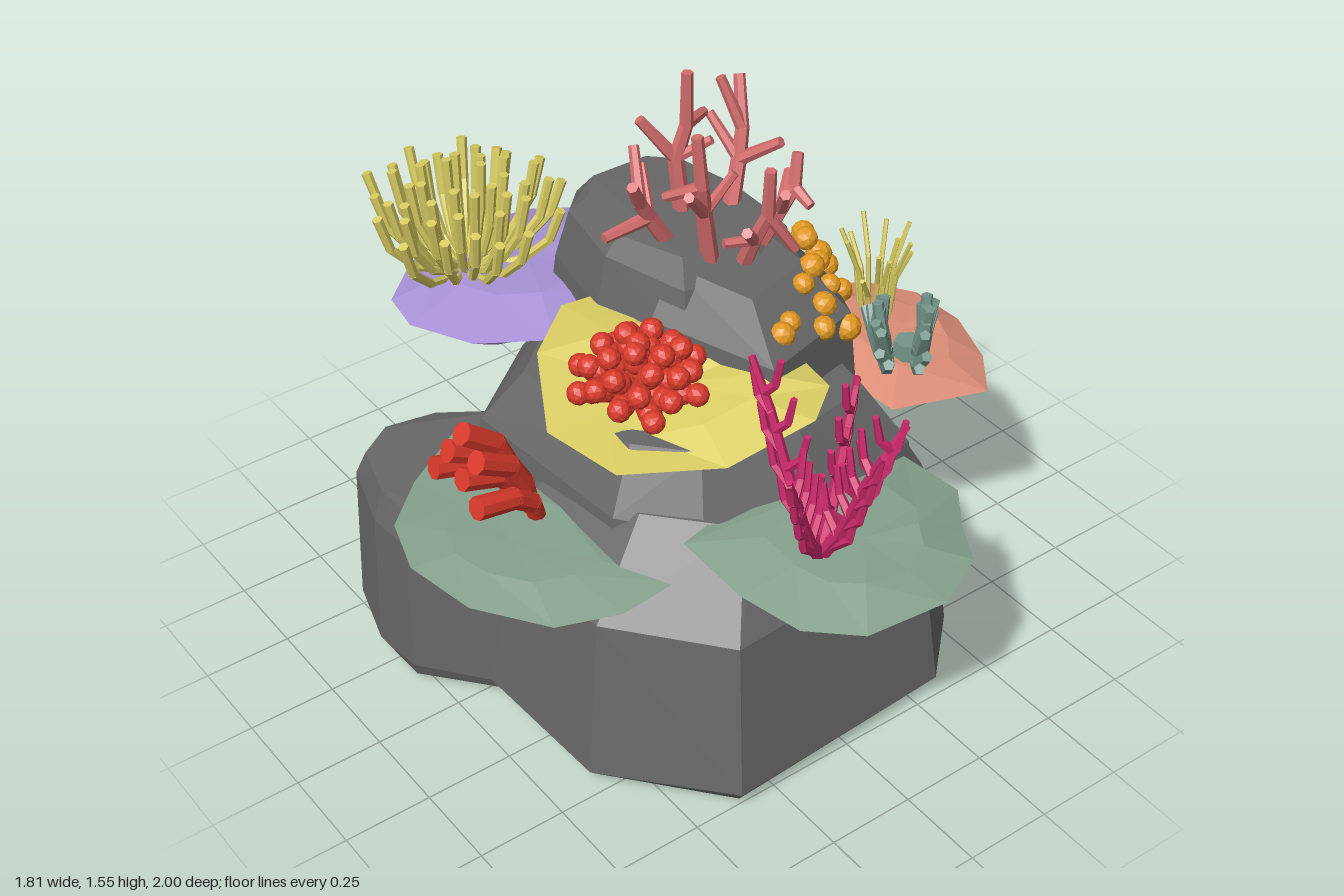
import * as THREE from 'three';
import { mergeGeometries } from 'three/addons/utils/BufferGeometryUtils.js';
import { ConvexGeometry } from 'three/addons/geometries/ConvexGeometry.js';

const V = (x, y, z) => new THREE.Vector3(x, y, z);
const clamp = THREE.MathUtils.clamp;
const paint = (name, color) => {
  const m = new THREE.MeshStandardMaterial({ color });
  m.name = name;
  return m;
};

// Small seeded random in the range 0..1
let seed = 7;
const rnd = () => (seed = (seed * 16807) % 2147483647) / 2147483647;
const jit = a => (rnd() - 0.5) * 2 * a;

function flat(g) {
  const f = g.index ? g.toNonIndexed() : g;
  f.deleteAttribute('uv');
  f.computeVertexNormals();
  return f;
}

// Convex boulder: an outline scaled and shifted at each level [y, scale, dx, dz]
function boulder(outline, levels) {
  const n = outline.length;
  const cx = outline.reduce((s, p) => s + p[0], 0) / n;
  const cz = outline.reduce((s, p) => s + p[1], 0) / n;
  const pts = [];
  for (const [y, s, dx = 0, dz = 0] of levels)
    for (const [x, z] of outline) pts.push(V(cx + (x - cx) * s + dx, y + jit(0.01), cz + (z - cz) * s + dz));
  return flat(new ConvexGeometry(pts));
}

// Faceted plate coral: rim outline, domed top and bulging underside
function shelf(outline, rimY, dome, depth) {
  let area = 0;
  outline.forEach(([x, z], i) => {
    const [u, w] = outline[(i + 1) % outline.length];
    area += z * u - x * w;
  });
  const o = area < 0 ? [...outline].reverse() : outline;
  const n = o.length;
  const cx = o.reduce((s, p) => s + p[0], 0) / n, cz = o.reduce((s, p) => s + p[1], 0) / n;
  const ring = (s, dy, j) => o.map(([x, z]) => {
    const px = cx + (x - cx) * s, pz = cz + (z - cz) * s;
    return V(px, rimY(px, pz) + dy + jit(j), pz);
  });
  const rings = [ring(0, dome, 0), ring(0.55, dome * 0.9, 0.008), ring(1, 0, 0.012), ring(0.6, -depth * 0.8, 0.015), ring(0, -depth, 0)];
  const tris = [];
  for (let k = 0; k < 4; k++)
    for (let i = 0; i < n; i++) {
      const j = (i + 1) % n, a = rings[k], b = rings[k + 1];
      if (k < 3) tris.push(a[i], b[i], b[j]);
      if (k > 0) tris.push(a[i], k < 3 ? b[j] : b[i], a[j]);
    }
  const g = new THREE.BufferGeometry().setFromPoints(tris);
  g.computeVertexNormals();
  return g;
}

// Tapered limb made of straight segments along a path
function limb(path, r0, r1, sides = 5) {
  const n = path.length - 1;
  return path.slice(1).map((b, i) => {
    const a = path[i], d = b.clone().sub(a);
    const g = new THREE.CylinderGeometry(r0 + (r1 - r0) * (i + 1) / n, r0 + (r1 - r0) * i / n, d.length() + r1 * 0.5, sides);
    g.applyQuaternion(new THREE.Quaternion().setFromUnitVectors(V(0, 1, 0), d.normalize()));
    g.translate((a.x + b.x) / 2, (a.y + b.y) / 2, (a.z + b.z) / 2);
    return flat(g);
  });
}

const ball = (p, r) => flat(new THREE.IcosahedronGeometry(r, 1).rotateY(rnd() * 6).translate(p.x, p.y, p.z));

export function createModel() {
  const model = new THREE.Group();
  model.name = 'coralReef';
  const rock = paint('rock grey', 0x676767), sage = paint('sage green', 0x86a28e), lilac = paint('lilac', 0xab94da),
    yellow = paint('yellow', 0xd8cc62), peach = paint('peach', 0xe2927a), red = paint('red', 0xd93a2b),
    magenta = paint('magenta', 0xcc2a6a), rose = paint('rose', 0xd26c6c), orange = paint('orange', 0xe09820),
    teal = paint('teal', 0x74958a);
  const add = (name, geo, mat) => {
    const mesh = new THREE.Mesh(Array.isArray(geo) ? mergeGeometries(geo) : geo, mat);
    mesh.name = name;
    model.add(mesh);
  };

  // Boulders
  add('frontBoulder', boulder(
    [[-0.37, 0.77], [0.32, 0.74], [0.51, 0.56], [0.58, 0.25], [0.56, -0.1], [0.4, -0.42], [0.1, -0.59], [-0.3, -0.55], [-0.55, -0.3], [-0.66, 0], [-0.64, 0.47]],
    [[0.012, 0.95], [0.05, 1], [0.51, 0.91], [0.58, 0.83, 0.03], [0.72, 0.67, 0.05]]), rock);
  add('backBoulder', boulder(
    [[0.66, -0.64], [0.58, -0.74], [0.28, -0.74], [0, -0.68], [-0.15, -0.55], [-0.1, -0.1], [0.5, -0.08], [0.65, -0.16]],
    [[0.03, 0.95], [0.07, 1], [0.55, 0.94, -0.03], [0.65, 0.85, -0.04], [0.735, 0.7, -0.05]]), rock);
  add('sideBoulder', boulder(
    [[-0.81, -0.3], [-0.75, -0.5], [-0.63, -0.57], [-0.44, -0.56], [-0.25, -0.4], [-0.3, 0.05], [-0.62, 0.08], [-0.8, -0.14]],
    [[0.03, 0.95], [0.06, 1], [0.48, 0.94], [0.56, 0.82]]), rock);
  add('middleBoulder', boulder(
    [[-0.44, 0.3], [-0.28, 0.48], [0.05, 0.58], [0.38, 0.52], [0.44, 0.2], [0.41, -0.3], [0.1, -0.52], [-0.2, -0.48], [-0.49, -0.25]],
    [[0.45, 1.05], [0.7, 0.98], [0.86, 0.77]]), rock);
  add('summitBack', boulder(
    [[-0.09, -0.48], [0.01, -0.58], [0.27, -0.58], [0.37, -0.48], [0.43, -0.22], [0.42, 0.02], [0.25, 0.13], [-0.05, 0.1], [-0.14, -0.2]],
    [[0.7, 1.04], [0.95, 0.95], [1.09, 0.83], [1.145, 0.68]]), rock);
  add('summitFront', boulder(
    [[-0.11, -0.02], [0.05, -0.12], [0.38, -0.1], [0.45, 0.08], [0.37, 0.29], [0.02, 0.38]],
    [[0.7, 1.03], [0.99, 0.92], [1.1, 0.6, 0, -0.07]]), rock);

  // Plate corals
  add('frontShelf', shelf(
    [[-0.36, 0.5], [-0.35, 0.72], [-0.29, 0.88], [-0.16, 0.98], [0.08, 1], [0.24, 0.92], [0.31, 0.8], [0.38, 0.7], [0.35, 0.52], [0, 0.4]],
    (x, z) => 0.67 - 0.07 * x - 0.1 * (z - 0.8), 0.04, 0.12), sage);
  add('sideShelf', shelf(
    [[-0.52, -0.32], [-0.72, -0.2], [-0.86, -0.07], [-0.91, 0.09], [-0.86, 0.28], [-0.72, 0.45], [-0.55, 0.51], [-0.38, 0.5], [-0.33, 0.1]],
    (x, z) => 0.62 - 0.03 * (x + 0.62) - 0.04 * (z - 0.1), 0.02, 0.11), sage);
  add('rightShelf', shelf(
    [[0.62, -0.24], [0.78, -0.15], [0.87, -0.03], [0.9, 0.12], [0.83, 0.3], [0.7, 0.46], [0.41, 0.4], [0.4, 0.1]],
    x => 0.69 - 0.13 * (x - 0.65), 0.04, 0.1), peach);
  add('upperShelf', shelf(
    [[-0.48, 0.08], [-0.36, -0.14], [-0.2, -0.26], [-0.06, -0.24], [0.02, 0.15], [0.17, 0.28], [0.15, 0.44], [0.04, 0.52], [-0.2, 0.47], [-0.42, 0.3]],
    (x, z) => 0.94 - 0.1 * clamp(-x * 4, 0, 1) * clamp((z + 0.12) * 4, 0, 1), 0.03, 0.06), yellow);
  add('backShelf', shelf(
    [[-0.06, -0.98], [0.14, -0.92], [0.26, -0.78], [0.32, -0.6], [0.31, -0.45], [0.05, -0.28], [-0.25, -0.22], [-0.42, -0.36], [-0.49, -0.57], [-0.46, -0.72], [-0.3, -0.88]],
    (x, z) => 0.81 + 0.15 * (z + 0.75), 0.04, 0.13), lilac);

  // Branching coral on the summit: each arm is root, elbow, tip, then three fork tips
  const arms = [
    [[0.06, 1.11, -0.12], [-0.01, 1.23, -0.12], [-0.09, 1.37, -0.08], [-0.15, 1.22, -0.12], [0.0, 1.4, -0.2], [0.03, 1.33, -0.21]],
    [[0.1, 1.11, 0.0], [0.07, 1.28, 0.01], [0.04, 1.52, 0.02], [-0.03, 1.4, 0.08], [0.0, 1.32, -0.06], [0.15, 1.38, 0.03]],
    [[0.16, 1.11, -0.2], [0.15, 1.3, -0.22], [0.18, 1.55, -0.21], [0.07, 1.42, -0.27], [0.27, 1.38, -0.26], [0.22, 1.36, -0.16]],
    [[0.27, 1.11, -0.14], [0.33, 1.25, -0.18], [0.39, 1.45, -0.26], [0.39, 1.33, -0.08], [0.32, 1.47, -0.25], [0.3, 1.36, -0.27]],
    [[0.26, 1.1, 0.0], [0.3, 1.22, 0.04], [0.36, 1.36, 0.03], [0.24, 1.33, 0.13], [0.34, 1.25, 0.11], [0.38, 1.27, -0.03]],
    [[0.18, 1.1, 0.04], [0.18, 1.19, 0.08], [0.19, 1.42, 0.13], [0.11, 1.27, 0.14], [0.26, 1.17, 0.15], [0.1, 1.2, 0.06]]
  ];
  add('branchingCoral', arms.flatMap(a => {
    const [root, elbow, tip, f1, f2, f3] = a.map(p => V(...p));
    const mid = elbow.clone().lerp(tip, 0.4).add(V(jit(0.02), 0, jit(0.02)));
    return [...limb([root, elbow, mid, tip], 0.025, 0.016, 6), ...limb([elbow, f1], 0.02, 0.015, 6),
      ...limb([mid, f2], 0.018, 0.014, 6), ...limb([elbow, f3], 0.017, 0.013, 6)];
  }), rose);

  // Star of five feathery arms with side twigs
  const stars = [[-0.3, 1.1, 0.83], [-0.17, 1.23, 0.52], [0.1, 1.09, 0.6], [0.1, 1.06, 0.79], [-0.09, 1.14, 0.92]];
  add('featheryCoral', stars.flatMap(([x, y, z]) => {
    const c = V(-0.1, 0.7, 0.72), t = V(x, y, z), out = V(x + 0.1, 0, z - 0.72), h = y - 0.7;
    const at = k => c.clone().addScaledVector(out, Math.pow(k, 0.75) * 0.92).add(V(0, h * k, 0));
    const parts = limb([c, at(0.25), at(0.5), at(0.75), t], 0.02, 0.01);
    for (let k = 0; k < 8; k++) {
      const p = at(0.14 + k * 0.1), s = k % 2 ? -0.34 : 0.4, len = 1 - k * 0.07;
      const q = p.clone().addScaledVector(out, s * len * 0.75).add(V(0, 0.06 * len, 0));
      parts.push(...limb([p, q, q.clone().addScaledVector(out, s * 0.2).add(V(0, 0.075, 0))], 0.014, 0.009));
    }
    return parts;
  }), magenta);

  // Leaning red tubes
  const tubes = [];
  for (let i = 0; i < 6; i++) {
    const f = i / 5 - 0.5, k = (i * 2) % 5 / 4, z = 0.04 + f * 0.16;
    tubes.push(...limb([V(-0.53, 0.62, 0.05 + f * 0.1), V(-0.56, 0.7 + 0.06 * k, z),
      V(-0.62 + 0.02 * k, 0.75 + 0.1 * k, z + f * 0.02), V(-0.73 + 0.04 * k, 0.78 + 0.14 * k, z + f * 0.04)], 0.024, 0.032, 8));
  }
  add('tubeCoral', tubes, red);

  // Cluster of knobbly red fingers
  const knobs = [];
  for (let i = 0; i < 28; i++) {
    const up = 1 - i / 28 * 0.95, a = i * 2.4, r = Math.sqrt(1 - up * up);
    const dir = V(r * Math.cos(a), up * 0.85, r * Math.sin(a)), c = V(-0.235, 0.935, 0.14);
    const reach = 0.16 + jit(0.012);
    for (const k of [0.09, 0.125, reach]) knobs.push(ball(c.clone().addScaledVector(dir, k), 0.032));
  }
  add('knobbyCoral', knobs, red);

  // Anemone with tentacles sweeping out and up
  const tentacles = [];
  for (let i = 0; i < 44; i++) {
    const k = Math.sqrt((i + 1.5) / 45.5), a = i * 2.4, R = 0.29 * k + jit(0.02), h = 0.3 - 0.08 * k * k + jit(0.02);
    const p = (f, y) => V(-0.22 + Math.cos(a) * R * f, 0.84 + y, -0.71 + Math.sin(a) * R * f);
    tentacles.push(...limb([p(0.2, 0), p(0.6, h * 0.2), p(0.88, h * 0.55), p(1, h)], 0.011, 0.015, 6));
  }
  add('anemone', tentacles, yellow);

  // Orange buds on the summit's front corner
  const buds = [[0.12, 1.03, 0.28], [0.16, 1.04, 0.26], [0.26, 1.08, 0.19], [0.32, 1.09, 0.15], [0.38, 1.1, 0.05], [0.25, 1.0, 0.29],
    [0.29, 1.03, 0.24], [0.35, 1.04, 0.19], [0.41, 1.05, 0.07], [0.34, 0.96, 0.28], [0.4, 1.0, 0.18], [0.43, 1.01, 0.08],
    [0.44, 0.95, 0.13], [0.42, 1.07, -0.01], [0.37, 1.07, 0.12]];
  add('budCoral', buds.map(b => ball(V(...b), 0.034 + jit(0.005))), orange);

  // Two teal fans of stubby fingers on a shared stump
  const fans = limb([V(0.59, 0.69, 0.25), V(0.59, 0.78, 0.25)], 0.05, 0.04, 6);
  for (const [ax, az, bx, bz] of [[0.57, 0.11, 0.45, 0.33], [0.7, 0.21, 0.51, 0.38]])
    for (let i = 0; i < 11; i++) {
      const k = i / 10, x = ax + (bx - ax) * k, z = az + (bz - az) * k;
      const s = V((ax + bx) / 2 * 0.8 + 0.118, 0.75, (az + bz) / 2 * 0.8 + 0.05);
      const top = 0.82 + 0.12 * Math.sin(k * Math.PI) - (i % 2) * 0.025;
      fans.push(...limb([s, V((s.x + x * 2) / 3, (0.75 + top) / 2 - 0.01, (s.z + z * 2) / 3), V(x + jit(0.02), top, z + jit(0.02))], 0.028, 0.016));
    }
  add('fanCoral', fans, teal);

  // Sea grass
  const blades = [];
  for (let i = 0; i < 12; i++) {
    const a = i * 2.4, r = 0.06 + 0.075 * rnd(), h = 0.17 + 0.12 * rnd();
    const p = (f, y) => V(0.68 + Math.cos(a) * r * f * 0.8, 0.71 + y, 0.01 + Math.sin(a) * r * f);
    blades.push(...limb([p(0.45, 0), p(0.6, h * 0.55), p(1.05, h)], 0.008, 0.007));
  }
  add('seaGrass', blades, yellow);

  return model;
}
